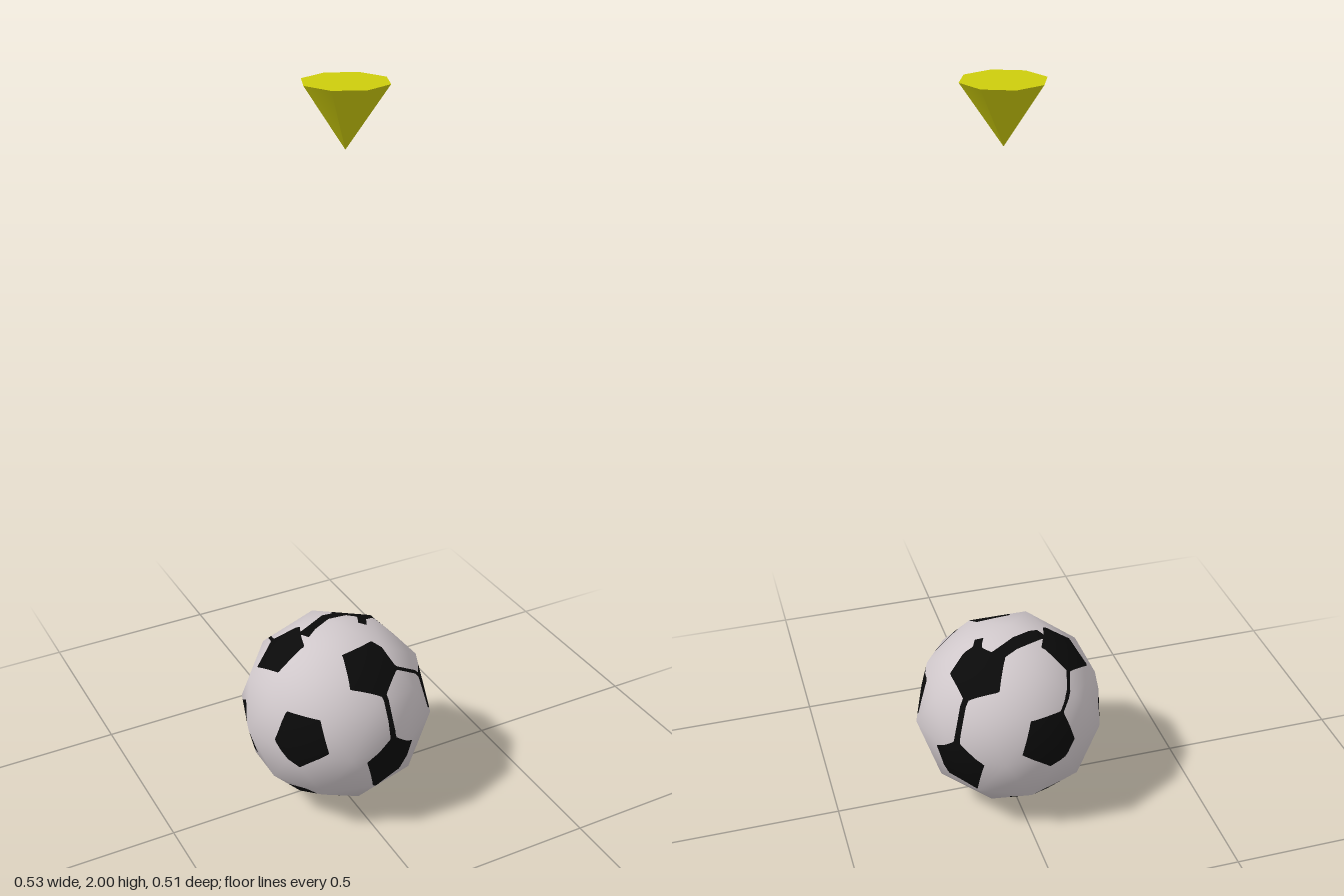
import * as THREE from 'three';

const R = 0.267;
const V = (x, y, z) => new THREE.Vector3(x, y, z);

// Twelve patch centres: a tilted icosahedron, 0 = top, 1-5 = its ring, 6-11 = opposites
function patchCentres() {
  const a = V(0.108, 0.788, 0.607).normalize();
  const u = V(0.147, -0.616, 0.773);
  u.addScaledVector(a, -u.dot(a)).normalize();
  const w = a.clone().cross(u);
  const list = [a];
  for (let i = 0; i < 5; i++) {
    const t = i * Math.PI * 0.4;
    list.push(a.clone().multiplyScalar(0.4472)
      .addScaledVector(u, 0.8944 * Math.cos(t))
      .addScaledVector(w, 0.8944 * Math.sin(t)));
  }
  return [...list, ...list.map(c => c.clone().negate())];
}

// Signed field over unit directions: negative inside pentagons and seams
function patternField() {
  const centres = patchCentres();
  const patches = centres.map(c => ({
    c,
    sides: centres.filter(n => n.dot(c) > 0.3 && n.dot(c) < 0.6)
      .map(n => n.clone().addScaledVector(c, -n.dot(c)).normalize()),
  }));
  const C = i => centres[i];
  const seams = [
    [C(0), C(1), 0.032], [C(2), C(10), 0.032], [C(0), C(2), 0.022], [C(3), C(11), 0.035],
    [C(4), C(7), 0.02], [C(6), C(9), 0.03],
    [C(3), V(-0.34, 0.93, -0.08), 0.075], [C(3), V(0.33, 0.94, 0.01), 0.05],
  ].map(([a, b, half]) => {
    const n = a.clone().cross(b).normalize();
    return { n, half, start: n.clone().cross(a), end: n.clone().cross(b.clone().normalize()) };
  });
  return p => {
    let f = 1;
    for (const { c, sides } of patches) {
      if (p.dot(c) < 0.7) continue;
      f = Math.min(f, Math.max(...sides.map(s => -p.dot(s))) - 0.268);
    }
    for (const s of seams) {
      f = Math.min(f, Math.max(Math.abs(p.dot(s.n)) - s.half, -p.dot(s.start), p.dot(s.end)));
    }
    return f;
  };
}

// Keep the part of a polygon where sign * f >= 0
function clip(poly, sign) {
  const out = [];
  poly.forEach((a, i) => {
    const b = poly[(i + 1) % poly.length];
    if (a.f * sign >= 0) out.push(a);
    if (a.f * b.f < 0) out.push({ p: a.p.clone().lerp(b.p, a.f / (a.f - b.f)), f: 0 });
  });
  return out;
}

function surface(points) {
  const g = new THREE.BufferGeometry();
  g.setAttribute('position', new THREE.Float32BufferAttribute(points.flatMap(p => p.toArray()), 3));
  g.setAttribute('normal', new THREE.Float32BufferAttribute(
    points.flatMap(p => p.clone().normalize().toArray()), 3));
  return g;
}

// Faceted ball whose flat faces are cut along the pattern edge
function ballSurfaces() {
  const N = 20, field = patternField();
  const ico = new THREE.IcosahedronGeometry(R, 1).rotateX(Math.atan((1 + Math.sqrt(5)) / 2));
  const pos = ico.attributes.position;
  const light = [], dark = [];
  const add = (poly, list) => {
    for (let k = 1; k + 1 < poly.length; k++) list.push(poly[0].p, poly[k].p, poly[k + 1].p);
  };
  for (let i = 0; i < pos.count; i += 3) {
    const [a, b, c] = [0, 1, 2].map(k => V(0, 0, 0).fromBufferAttribute(pos, i + k));
    const at = (r, s) => {
      const p = a.clone().multiplyScalar(1 - (r + s) / N)
        .addScaledVector(b, r / N).addScaledVector(c, s / N);
      return { p, f: field(p.clone().normalize()) };
    };
    for (let r = 0; r < N; r++) {
      for (let s = 0; s < N - r; s++) {
        const tris = [[at(r, s), at(r + 1, s), at(r, s + 1)]];
        if (r + s < N - 1) tris.push([at(r + 1, s), at(r + 1, s + 1), at(r, s + 1)]);
        for (const t of tris) {
          add(clip(t, 1), light);
          add(clip(t, -1), dark);
        }
      }
    }
  }
  return [surface(light), surface(dark)];
}

export function createModel() {
  const white = new THREE.MeshStandardMaterial({ color: 0xcfc7ca });
  white.name = 'white leather';
  const black = new THREE.MeshStandardMaterial({ color: 0x0a0a0a });
  black.name = 'black leather';
  const yellow = new THREE.MeshStandardMaterial({ color: 0xcdcc0c });
  yellow.name = 'yellow';

  const model = new THREE.Group();

  // Ball
  const ball = new THREE.Group();
  ball.name = 'ball';
  ball.position.y = R;
  const [light, dark] = ballSurfaces();
  const panels = new THREE.Mesh(light, white);
  panels.name = 'whitePanels';
  const patches = new THREE.Mesh(dark, black);
  patches.name = 'blackPatches';
  ball.add(panels, patches);
  model.add(ball);

  // Marker cone floating above, point down
  const height = 0.155;
  const marker = new THREE.Mesh(new THREE.ConeGeometry(0.106, height, 8).rotateX(Math.PI), yellow);
  marker.name = 'markerCone';
  marker.position.set(-0.004, 2 - height / 2, 0.058);
  model.add(marker);

  return model;
}
